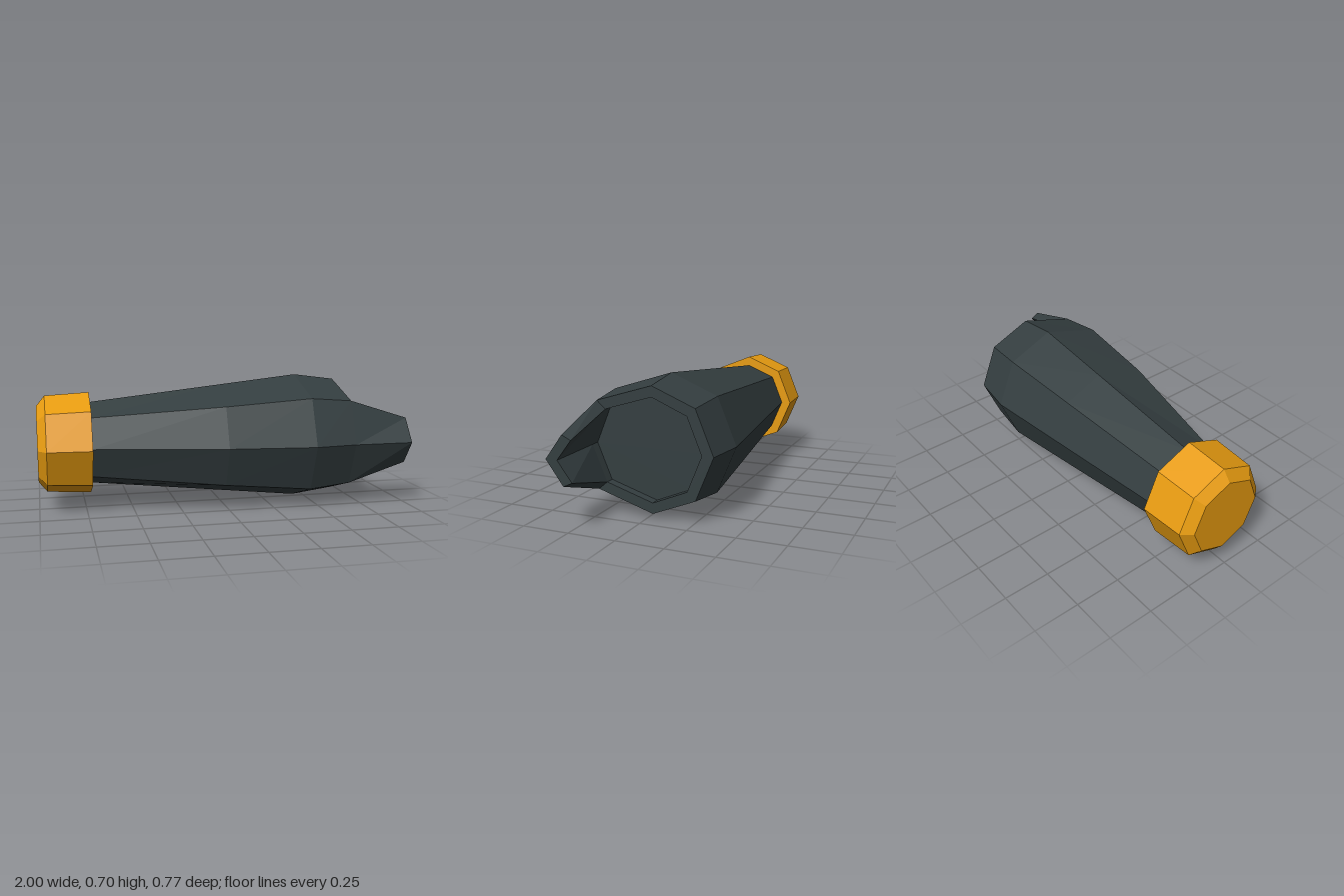
import * as THREE from 'three';

const CY = 0.352;      // height of the long axis
const RIDGE_Z = -0.036; // depth of the top and bottom ridges

// Eight-sided cross-section: front, front corner, back corner and back depths,
// then the half heights of the ridge and of the corners
function octagon(x, zFront, zFC, zBC, zBack, ridge, corner) {
  return [
    [zFront, 0], [zFC, corner], [RIDGE_Z, ridge], [zBC, corner],
    [zBack, 0], [zBC, -corner], [RIDGE_Z, -ridge], [zFC, -corner],
  ].map(([z, y]) => [x, CY + y, z]);
}

function regular(x, r) {
  const k = r * Math.SQRT1_2;
  return octagon(x, RIDGE_Z + r, RIDGE_Z + k, RIDGE_Z - k, RIDGE_Z - r, r, k);
}

// Joins successive cross-sections along x, closing the ends when asked
function loft(rings, closeStart, closeEnd) {
  const pos = [];
  const tri = (a, b, c) => pos.push(...a, ...b, ...c);
  for (let i = 0; i < rings.length - 1; i++) {
    const a = rings[i], b = rings[i + 1], n = a.length;
    for (let j = 0; j < n; j++) {
      const k = (j + 1) % n;
      tri(a[j], b[j], b[k]);
      tri(a[j], b[k], a[k]);
    }
  }
  const first = rings[0], last = rings[rings.length - 1];
  for (let j = 1; j < first.length - 1; j++) {
    if (closeStart) tri(first[0], first[j], first[j + 1]);
    if (closeEnd) tri(last[0], last[j + 1], last[j]);
  }
  const geo = new THREE.BufferGeometry();
  geo.setAttribute('position', new THREE.Float32BufferAttribute(pos, 3));
  geo.computeVertexNormals();
  return geo;
}

export function createModel() {
  const group = new THREE.Group();
  const charcoal = new THREE.MeshStandardMaterial({ name: 'charcoal', color: 0x343e40 });
  const amber = new THREE.MeshStandardMaterial({ name: 'amber', color: 0xe89c10 });
  const add = (name, geo, mat) => {
    const mesh = new THREE.Mesh(geo, mat);
    mesh.name = name;
    group.add(mesh);
  };

  // Tapered sleeve with a bulge in front, a rim and a shallow recess
  add('sleeve', loft([
    regular(-0.72, 0.223),
    octagon(-0.02, 0.335, 0.25, -0.249, -0.336, 0.3, 0.212),
    octagon(0.445, 0.387, 0.285, -0.285, -0.387, 0.351, 0.248),
    octagon(0.675, 0.357, 0.265, -0.264, -0.358, 0.321, 0.228),
    octagon(0.675, 0.295, 0.217, -0.22, -0.297, 0.265, 0.187),
    octagon(0.625, 0.295, 0.217, -0.22, -0.297, 0.265, 0.187),
  ], true, true), charcoal);

  // Tapering guard that carries the front of the rim forward
  const guard = (x, outer, inner) => [
    [0.357, 0], [0.265, outer], [0.217, inner],
    [0.295, 0], [0.217, -inner], [0.265, -outer],
  ].map(([z, y]) => [x, CY + y, z]);
  add('guard', loft([guard(0.675, 0.228, 0.187), guard(1, 0.125, 0.102)], false, true), charcoal);

  // Chamfered end cap, wider than the sleeve
  add('endCap', loft([
    regular(-1, 0.208), regular(-0.955, 0.264), regular(-0.72, 0.277),
  ], true, true), amber);

  return group;
}
